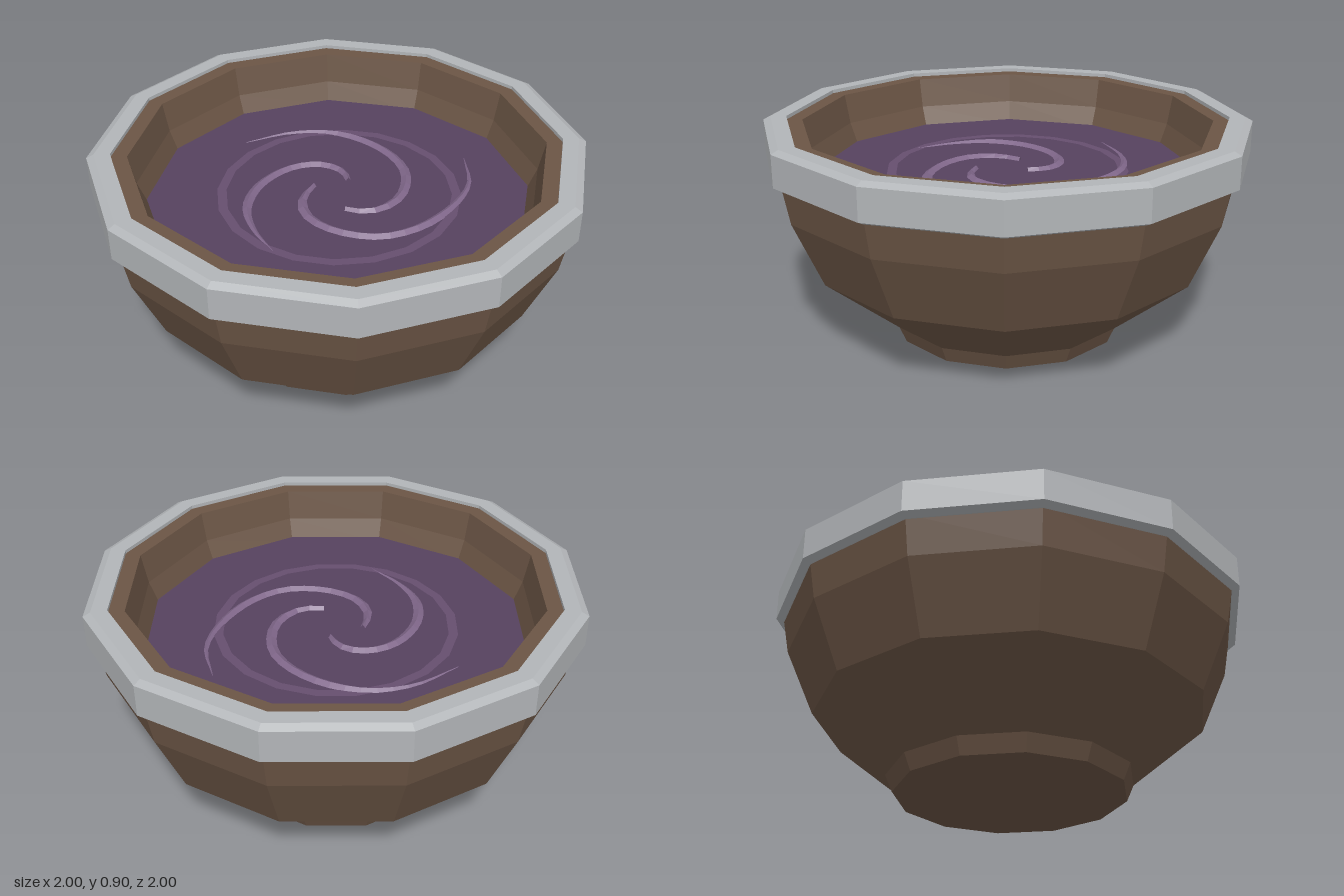
import * as THREE from 'three';

const SIDES = 12;
const LIQUID_Y = 0.68;

const material = (color, side = THREE.FrontSide) =>
  new THREE.MeshStandardMaterial({ color, flatShading: true, side });

const points = (list) => list.map(([x, y]) => new THREE.Vector2(x, y));

// Tapered ridge lying on the liquid, following a path of [x, z] points
function ridgeGeometry(path, steps = 22) {
  const curve = new THREE.CatmullRomCurve3(path.map(([x, z]) => new THREE.Vector3(x, 0, z)));
  const position = [];
  const index = [];
  for (let i = 0; i <= steps; i++) {
    const t = i / steps;
    const p = curve.getPointAt(t);
    const d = curve.getTangentAt(t);
    const w = 0.021 * Math.min(1, 0.5 + t * 4) * Math.min(1, (1 - t) * 2.5 + 0.06);
    const lift = 0.014 * Math.min(1, (1 - t) * 2.5 + 0.1);
    // left foot, crown, right foot
    position.push(p.x + d.z * w, 0, p.z - d.x * w);
    position.push(p.x, lift, p.z);
    position.push(p.x - d.z * w, 0, p.z + d.x * w);
    if (i === steps) continue;
    for (let k = 0; k < 2; k++) {
      const a = i * 3 + k;
      index.push(a, a + 1, a + 3, a + 1, a + 4, a + 3);
    }
  }
  const geometry = new THREE.BufferGeometry();
  geometry.setAttribute('position', new THREE.Float32BufferAttribute(position, 3));
  geometry.setIndex(index);
  geometry.computeVertexNormals();
  return geometry;
}

export function createModel() {
  const model = new THREE.Group();
  model.name = 'bowl';
  const add = (name, geometry, mat, y = 0) => {
    const mesh = new THREE.Mesh(geometry, mat);
    mesh.name = name;
    mesh.position.y = y;
    model.add(mesh);
    return mesh;
  };

  // Wooden body: foot, outer wall, lip, inner wall and inner floor
  const body = points([
    [0, 0], [0.48, 0], [0.51, 0.07], [0.82, 0.325], [0.94, 0.6], [0.97, 0.76], [0.95, 0.885],
    [0.84, 0.885], [0.815, 0.76], [0.775, 0.66], [0.68, 0.4], [0.4, 0.17], [0, 0.15],
  ]);
  add('body', new THREE.LatheGeometry(body, SIDES), material(0x6b5545));

  // Metal band around the rim, chamfered top and bottom
  const band = points([
    [0.9, 0.74], [0.97, 0.74], [1, 0.755], [1, 0.885], [0.97, 0.9], [0.905, 0.9], [0.905, 0.88],
  ]);
  add('rimBand', new THREE.LatheGeometry(band, SIDES), material(0xb2b5b8));

  // Liquid surface
  add('liquid', new THREE.CylinderGeometry(0.782, 0.775, 0.02, SIDES), material(0x56425f), LIQUID_Y - 0.01);

  // Faint ripple on the liquid
  const ripple = new THREE.RingGeometry(0.462, 0.5, 20).rotateX(-Math.PI / 2);
  add('ripple', ripple, material(0x664f6e, THREE.DoubleSide), LIQUID_Y + 0.004);

  // Three spiral swirls winding out from the middle
  const arms = [
    [[0.08, -0.05], [0.1, -0.12], [0.07, -0.2], [0, -0.25], [-0.1, -0.265], [-0.25, -0.22],
      [-0.37, -0.11], [-0.425, 0.04], [-0.435, 0.21]],
    [[-0.05, 0.12], [0.01, 0.18], [0.1, 0.195], [0.2, 0.16], [0.31, 0.04], [0.345, -0.1],
      [0.32, -0.27], [0.24, -0.41], [0.09, -0.51], [-0.12, -0.55]],
    [[-0.06, -0.095], [-0.15, -0.04], [-0.2, 0.07], [-0.17, 0.21], [-0.05, 0.345], [0.11, 0.385],
      [0.3, 0.35], [0.48, 0.25], [0.59, 0.08]],
  ];
  const swirlMaterial = material(0x80678a, THREE.DoubleSide);
  arms.forEach((path, i) => add(`swirl${i + 1}`, ridgeGeometry(path), swirlMaterial, LIQUID_Y + 0.003));

  return model;
}
